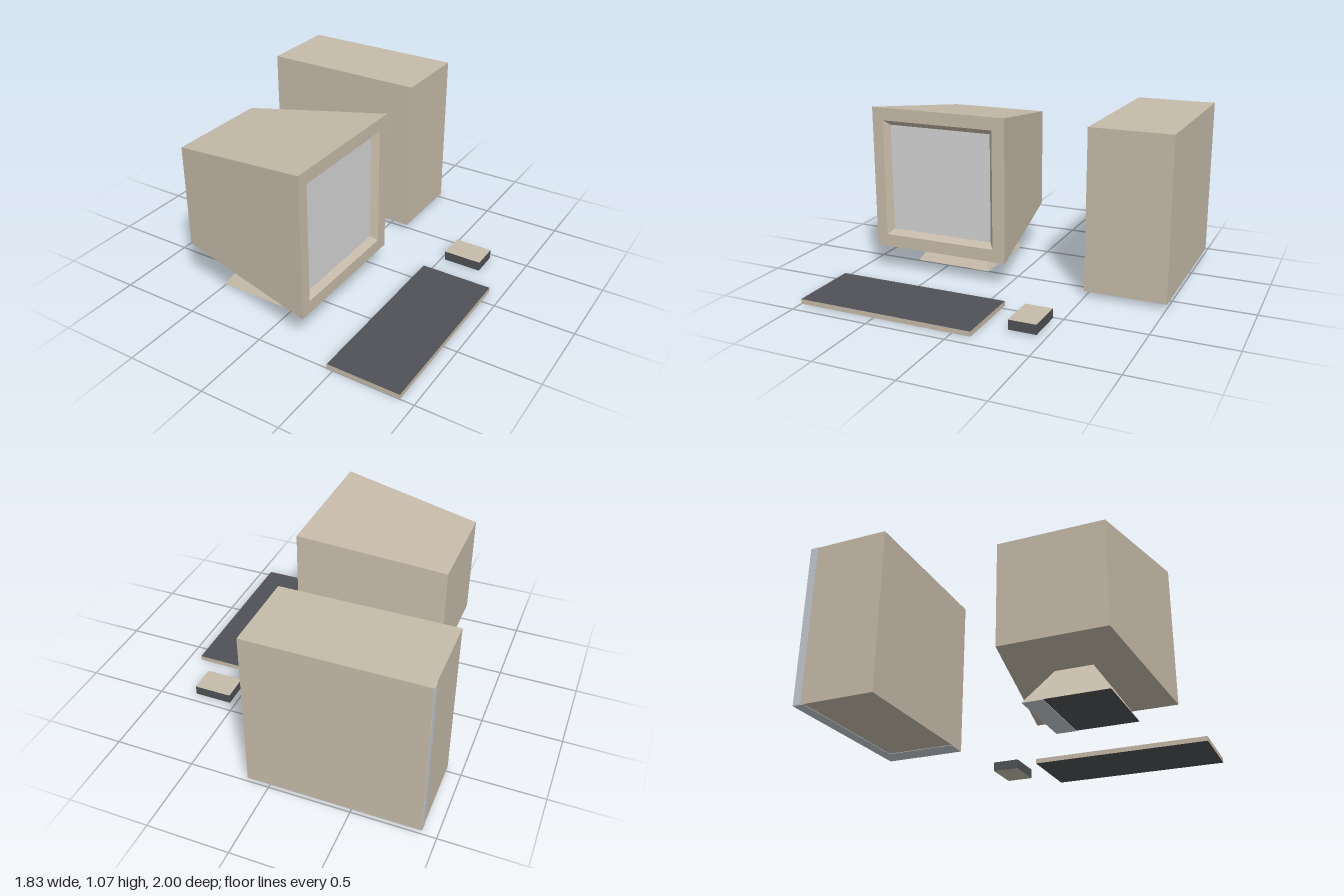
import * as THREE from 'three';

const mat = (name, color) => {
  const m = new THREE.MeshStandardMaterial({ color });
  m.name = name;
  return m;
};

export function createModel() {
  const beige = mat('beige casing', 0xc6bba9);
  const dark = mat('dark plastic', 0x4f5156);
  const screenGrey = mat('screen grey', 0xd4d4d4);
  const trimGrey = mat('trim grey', 0xc4c9d0);

  const model = new THREE.Group();
  model.name = 'desktopComputer';

  const add = (name, geometry, material) => {
    const mesh = new THREE.Mesh(geometry, material);
    mesh.name = name;
    model.add(mesh);
    return mesh;
  };

  // Box given by its lower and upper limits on each axis
  const box = (name, [x0, x1], [y0, y1], [z0, z1], material) => {
    const g = new THREE.BoxGeometry(x1 - x0, y1 - y0, z1 - z0);
    g.translate((x0 + x1) / 2, (y0 + y1) / 2, (z0 + z1) / 2);
    return add(name, g, material);
  };

  // Rectangle in a plane of constant x, counter-clockwise seen from +x
  const ring = (x, [y0, y1], [z0, z1]) =>
    [[x, y0, z1], [x, y0, z0], [x, y1, z0], [x, y1, z1]].map((p) => new THREE.Vector3(...p));

  // Flat-shaded surface from a list of four-cornered faces
  const quads = (faces) => {
    const pts = faces.flatMap(([a, b, c, d]) => [a, b, c, a, c, d]);
    const g = new THREE.BufferGeometry().setFromPoints(pts);
    g.computeVertexNormals();
    return g;
  };

  // Monitor: tapered casing, bezel and recess as successive rings
  const rings = [
    ring(-0.675, [0.29, 0.94], [0.115, 0.765]),
    ring(0.23, [0.165, 1.07], [-0.01, 0.89]),
    ring(0.23, [0.245, 0.99], [0.072, 0.818]),
    ring(0.19, [0.275, 0.957], [0.103, 0.785]),
  ];
  const casing = [[...rings[0]].reverse()];
  for (let r = 0; r < rings.length - 1; r++) {
    for (let i = 0; i < 4; i++) {
      const j = (i + 1) % 4;
      casing.push([rings[r][i], rings[r][j], rings[r + 1][j], rings[r + 1][i]]);
    }
  }
  add('monitorCasing', quads(casing), beige);
  add('screen', quads([rings[3]]), screenGrey);

  // Stand: box narrowed towards the top, with a dark underside
  const stand = new THREE.BoxGeometry(0.53, 0.24, 0.51);
  const p = stand.attributes.position;
  for (let i = 0; i < p.count; i++) {
    if (p.getY(i) > 0) {
      p.setX(i, p.getX(i) * 0.4);
      p.setZ(i, p.getZ(i) * 0.41);
    }
  }
  stand.computeVertexNormals();
  stand.translate(-0.225, 0.14, 0.445);
  add('monitorStand', stand, [beige, beige, beige, dark, beige, beige]);
  box('standUndersideTrim', [-0.49, 0.04], [0.017, 0.02], [0.19, 0.315], trimGrey);

  // Computer case with thin grey trim on the side and underside
  box('computerCase', [-0.915, 0.13], [0.03, 1.04], [-1, -0.49], beige);
  box('caseSideTrim', [-0.918, -0.915], [0.03, 1.04], [-1, -0.95], trimGrey);
  box('caseUndersideRearTrim', [-0.915, 0], [0.027, 0.03], [-1, -0.93], trimGrey);
  box('caseUndersideEndTrim', [0, 0.13], [0.027, 0.03], [-1, -0.49], trimGrey);

  // Keyboard: dark top and bottom, pale edges
  box('keyboard', [0.46, 0.915], [0, 0.03], [-0.115, 1],
    [beige, beige, dark, dark, beige, beige]);

  // Mouse: pale top and bottom, dark edges
  box('mouse', [0.53, 0.77], [0.01, 0.07], [-0.445, -0.275],
    [dark, dark, beige, beige, dark, dark]);

  return model;
}
